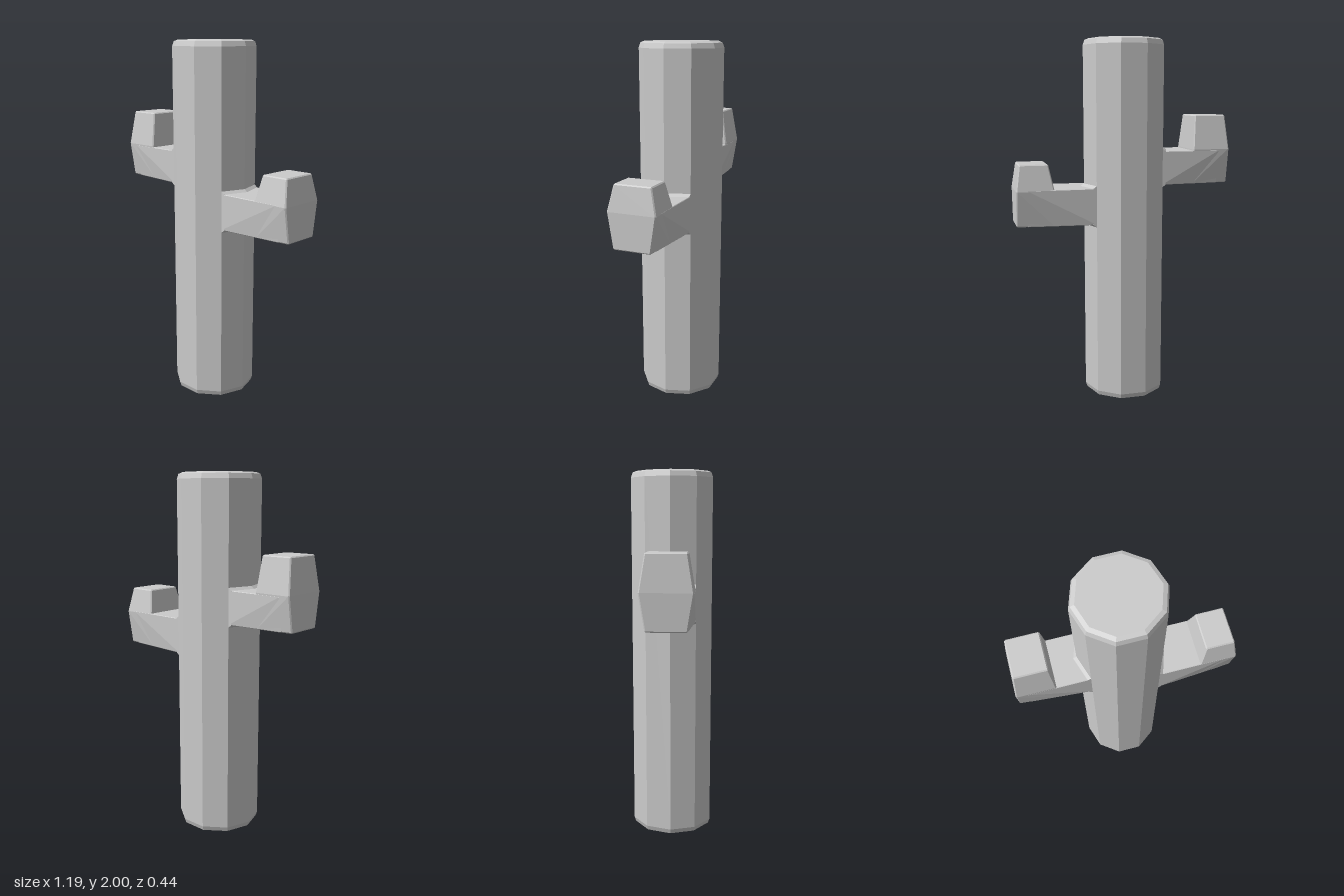
import * as THREE from 'three';
import { ConvexGeometry } from 'three/addons/geometries/ConvexGeometry.js';

const RADIUS = 0.23;
const TRUNK_X = -0.025;
const material = new THREE.MeshStandardMaterial({ color: 0xcccccc, flatShading: true });

// Convex solid symmetric in z from [x, y, halfWidth] points, with its edges softened by r
function softHull(points, r) {
  const centre = new THREE.Vector3();
  points.forEach(([x, y]) => centre.add(new THREE.Vector3(x, y, 0)));
  centre.divideScalar(points.length);
  const cloud = [];
  for (const [x, y, w] of points) {
    for (const side of [-1, 1]) {
      const corner = new THREE.Vector3(x, y, w * side);
      // pull the corner inwards, then spread it along each axis to make chamfers
      const inner = new THREE.Vector3(
        x - Math.sign(x - centre.x) * r, y - Math.sign(y - centre.y) * r, corner.z - side * r);
      for (let axis = 0; axis < 3; axis++) {
        const p = inner.clone();
        p.setComponent(axis, corner.getComponent(axis));
        cloud.push(p);
      }
    }
  }
  return new ConvexGeometry(cloud);
}

function mesh(geometry, name) {
  const m = new THREE.Mesh(geometry, material);
  m.name = name;
  return m;
}

// Ten-sided trunk with rounded rims
function makeTrunk() {
  const profile = [
    [0, 0], [RADIUS - 0.03, 0], [RADIUS - 0.009, 0.009], [RADIUS, 0.035],
    [RADIUS, 1.965], [RADIUS - 0.009, 1.991], [RADIUS - 0.03, 2], [0, 2],
  ].map(([x, y]) => new THREE.Vector2(x, y));
  return mesh(new THREE.LatheGeometry(profile, 10, Math.PI / 2), 'trunk');
}

// Arm pointing along +x from the trunk axis
function makeArm(name, { bottom, shoulder, top, inner, outer, topInner, topOuter }) {
  const arm = new THREE.Group();
  arm.name = name;
  const wide = 0.135, endWidth = 0.105, root = 0.186;
  const widthAt = (x) => wide + (endWidth - wide) * (x - root) / (outer - root);

  // horizontal branch, narrowing underneath towards its tip
  const reach = outer - 0.06;
  arm.add(mesh(softHull([
    [0.1, bottom, wide], [0.1, shoulder, wide],
    [root, bottom, wide], [root, shoulder, wide],
    [reach, bottom, widthAt(reach)], [reach, shoulder, wide],
  ], 0.003), name + 'Branch'));

  // upturned tip, widest at the shoulder
  arm.add(mesh(softHull([
    [inner, bottom, widthAt(inner)], [outer, bottom, endWidth],
    [inner, shoulder, wide], [outer, shoulder, wide],
    [topInner, top, 0.105], [topOuter, top, 0.105],
  ], 0.006), name + 'Tip'));

  // small flare where the branch meets the two trunk faces
  const flare = [];
  for (const [x, z] of [[root, wide], [RADIUS, 0], [root, -wide]]) {
    for (const [y, d] of [[bottom, -0.014], [shoulder, 0.014]]) {
      flare.push(new THREE.Vector3(x, y + d, z), new THREE.Vector3(x + 0.018, y, z));
    }
  }
  arm.add(mesh(new ConvexGeometry(flare), name + 'Flare'));
  arm.position.x = TRUNK_X;
  return arm;
}

export function createModel() {
  const model = new THREE.Group();
  model.name = 'cactus';
  const trunk = makeTrunk();
  trunk.position.x = TRUNK_X;

  const leftArm = makeArm('leftArm', {
    bottom: 1.0, shoulder: 1.2, top: 1.335,
    inner: 0.415, outer: 0.62, topInner: 0.442, topOuter: 0.6,
  });
  const rightArm = makeArm('rightArm', {
    bottom: 1.21, shoulder: 1.395, top: 1.59,
    inner: 0.365, outer: 0.575, topInner: 0.38, topOuter: 0.557,
  });
  rightArm.rotation.y = Math.PI;

  model.add(trunk, leftArm, rightArm);
  return model;
}
